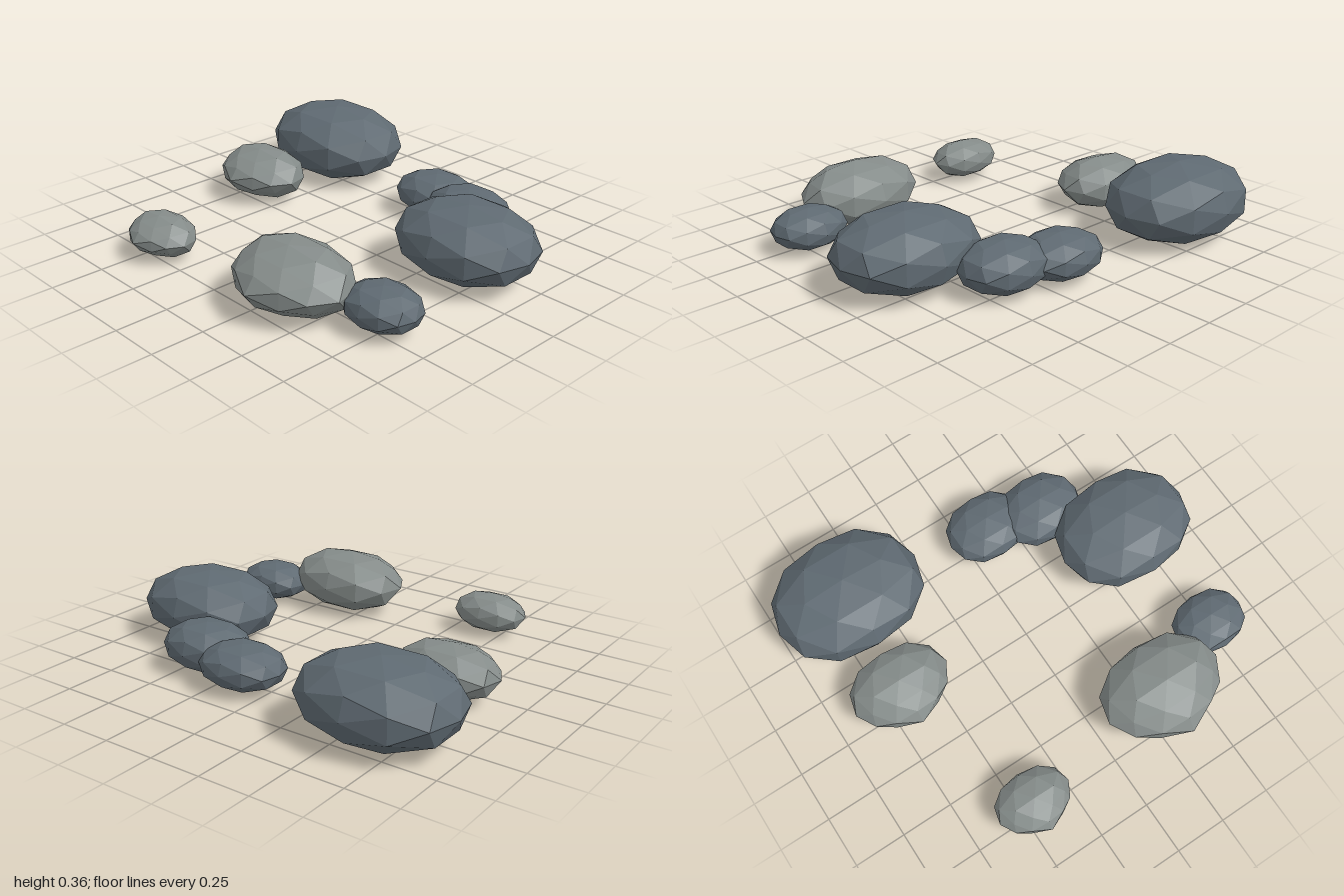
import * as THREE from 'three';

const dark = new THREE.MeshStandardMaterial({ color: 0x5f6a72, flatShading: true });
const light = new THREE.MeshStandardMaterial({ color: 0x858c8a, flatShading: true });

// Faceted pebble: a subdivided icosahedron squashed to three radii.
// Vertices off the main axes swell or shrink a little; a tapered stone narrows toward +z.
function makeStone(name, material, [x, y, z], [rx, ry, rz], tapered) {
  const geometry = new THREE.IcosahedronGeometry(1, 1);
  const pos = geometry.attributes.position;
  const v = new THREE.Vector3();
  for (let i = 0; i < pos.count; i++) {
    v.fromBufferAttribute(pos, i);
    const offAxis = 1 - Math.max(Math.abs(v.x), Math.abs(v.y), Math.abs(v.z));
    const swell = !tapered ? 0.25 : v.z > 0.1 ? -0.5 : 0.3;
    v.multiplyScalar(1 + swell * offAxis);
    pos.setXYZ(i, v.x * rx, v.y * ry, v.z * rz);
  }
  geometry.computeVertexNormals();
  const stone = new THREE.Mesh(geometry, material);
  stone.name = name;
  stone.position.set(x, y, z);
  return stone;
}

export function createModel() {
  const group = new THREE.Group();
  group.name = 'stoneRing';

  // name, material, centre, radii, tapered
  const stones = [
    ['largeStoneBack', dark, [-0.63, 0.182, -0.58], [0.37, 0.182, 0.293], false],
    ['largeStoneLeft', dark, [0.66, 0.175, -0.148], [0.34, 0.167, 0.27], false],
    ['mediumStoneFront', light, [0.35, 0.152, 0.62], [0.304, 0.147, 0.24], true],
    ['mediumStoneRight', light, [-0.655, 0.132, -0.06], [0.245, 0.12, 0.194], true],
    ['smallStoneFront', light, [-0.433, 0.108, 0.72], [0.185, 0.092, 0.148], true],
    ['smallStoneLeft', dark, [0.738, 0.11, 0.458], [0.18, 0.092, 0.146], false],
    ['smallStoneBack', dark, [0.127, 0.113, -0.54], [0.207, 0.1, 0.166], false],
    ['smallStoneBackLeft', dark, [0.393, 0.123, -0.473], [0.213, 0.112, 0.172], false],
  ];
  for (const stone of stones) group.add(makeStone(...stone));
  return group;
}
